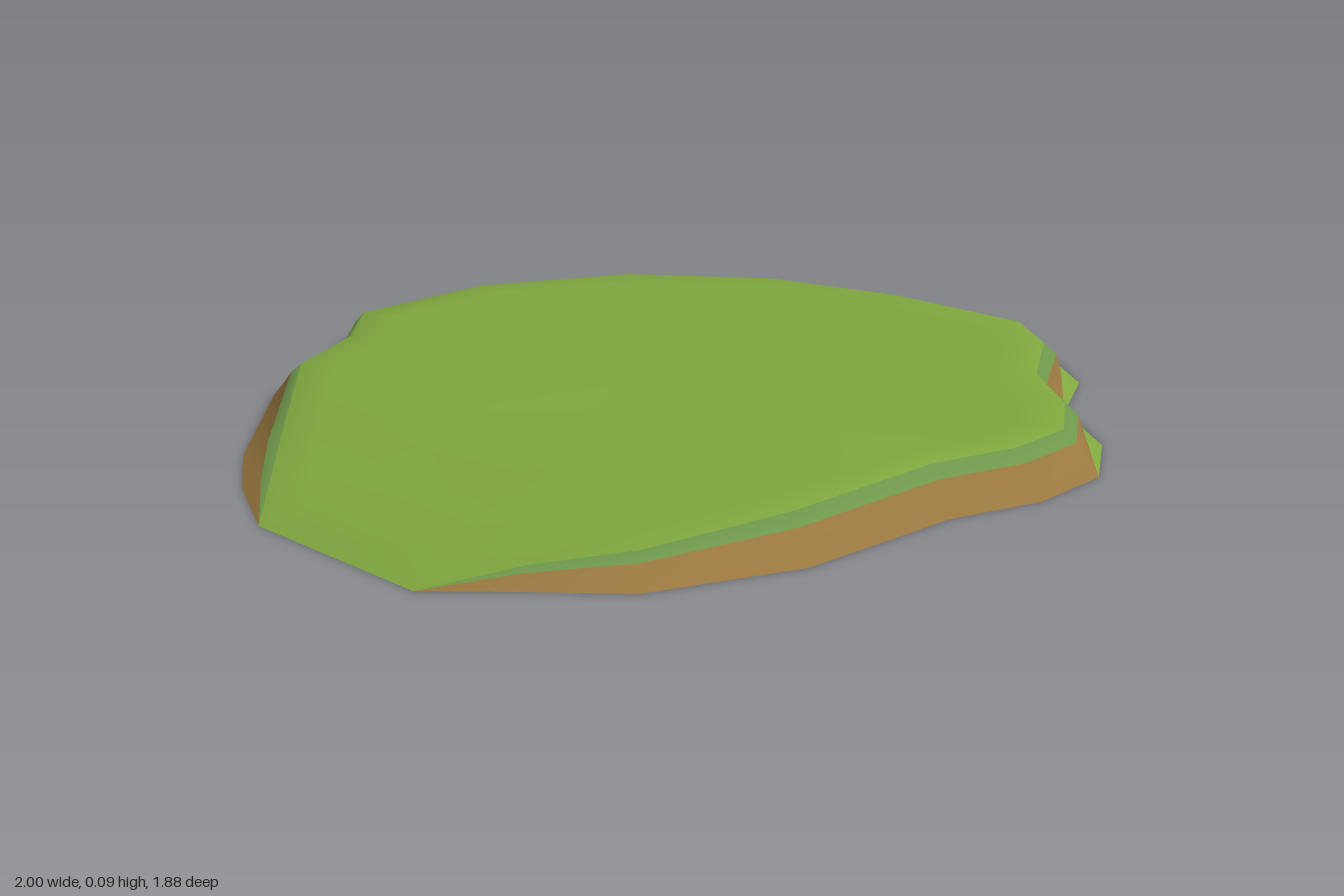
import * as THREE from 'three';

const mat = (name, color) => {
  const m = new THREE.MeshStandardMaterial({ color, side: THREE.DoubleSide });
  m.name = name;
  return m;
};

// Footprint on the ground [x, z] and the matching upper rim [x, z]
const base = [
  [-0.06, -0.94], [0.34, -0.90], [0.69, -0.70], [0.92, -0.38], [0.98, 0], [1, 0.41], [0.87, 0.57],
  [0.66, 0.66], [0.52, 0.84], [0.34, 0.94], [0.14, 0.93], [-0.06, 0.85], [-0.44, 0.80], [-0.74, 0.65],
  [-0.88, 0.48], [-1, 0.34], [-0.98, -0.12], [-0.87, -0.31], [-0.74, -0.47], [-0.44, -0.74], [-0.23, -0.81],
];
const rim = [
  [-0.06, -0.86], [0.31, -0.83], [0.64, -0.63], [0.85, -0.33], [0.93, 0], [0.93, 0.36], [0.82, 0.50],
  [0.60, 0.62], [0.46, 0.78], [0.31, 0.87], [0.15, 0.86], [-0.04, 0.79], [-0.42, 0.74], [-0.68, 0.60],
  [-0.84, 0.47], [-1, 0.34], [-0.98, -0.12], [-0.84, -0.25], [-0.70, -0.39], [-0.42, -0.66], [-0.21, -0.73],
];

// Ground height: a plateau that ramps down to the left-hand side
const ramp = [[-1, 0], [-0.97, 0.01], [-0.92, 0.032], [-0.75, 0.042], [-0.5, 0.082], [-0.36, 0.095], [2, 0.095]];
function height(x) {
  for (let i = 1; i < ramp.length; i++) {
    const [x0, y0] = ramp[i - 1], [x1, y1] = ramp[i];
    if (x <= x1) return y0 + (y1 - y0) * Math.max(0, (x - x0) / (x1 - x0));
  }
  return 0.095;
}

// Joins a list of rings, outermost first, into one smooth surface
function loft(rings) {
  const n = rings[0].length, index = [];
  for (let r = 0; r < rings.length - 1; r++) {
    for (let i = 0; i < n; i++) {
      const j = (i + 1) % n;
      const a = r * n + i, b = r * n + j, c = a + n, d = b + n;
      index.push(a, c, b, b, c, d);
    }
  }
  const g = new THREE.BufferGeometry();
  g.setAttribute('position', new THREE.Float32BufferAttribute(rings.flat(2), 3));
  g.setIndex(index);
  g.computeVertexNormals();
  return g;
}

export function createModel() {
  const grass = mat('grass green', 0x80a83f);
  const edge = mat('grass edge green', 0x6f984c);
  const soil = mat('soil brown', 0x9c7a41);
  const group = new THREE.Group();
  group.name = 'groundPatch';

  const n = base.length;
  const foot = base.map(([x, z]) => [x, 0, z]);
  const top = rim.map(([x, z], i) => [x, i === 15 || i === 16 ? 0 : height(x), z]);
  const between = (a, b, t, ty = t) => a.map((p, i) => [
    p[0] + (b[i][0] - p[0]) * t, p[1] + (b[i][1] - p[1]) * ty, p[2] + (b[i][2] - p[2]) * t]);

  // Small grassy toes stick out below the soil on two front corners
  const soilFoot = foot.map((p, i) => {
    const t = i === 6 || i === 8 ? 0.5 : 0;
    return p.map((v, k) => v + (top[i][k] - v) * t * (k === 1 ? 0.5 : 1));
  });
  const seam = between(foot, top, 0.65, 0.72);

  // Flat upper surface, shrinking in rings to the centre
  const inner = [0.9, 0.75, 0.6, 0.45, 0.25, 0].map((s) =>
    rim.map(([x, z]) => [x * s, height(x * s), z * s]));

  // Grass rim and top share one surface so the shading rolls over the edge
  const turf = loft([seam, top, ...inner]);
  turf.addGroup(0, n * 6, 0);
  turf.addGroup(n * 6, Infinity, 1);

  const add = (name, geometry, material) => {
    const m = new THREE.Mesh(geometry, material);
    m.name = name;
    group.add(m);
  };
  add('grassTop', turf, [edge, grass]);
  add('soilBank', loft([soilFoot, seam]), soil);
  add('grassToes', loft([foot, soilFoot]), grass);
  return group;
}
